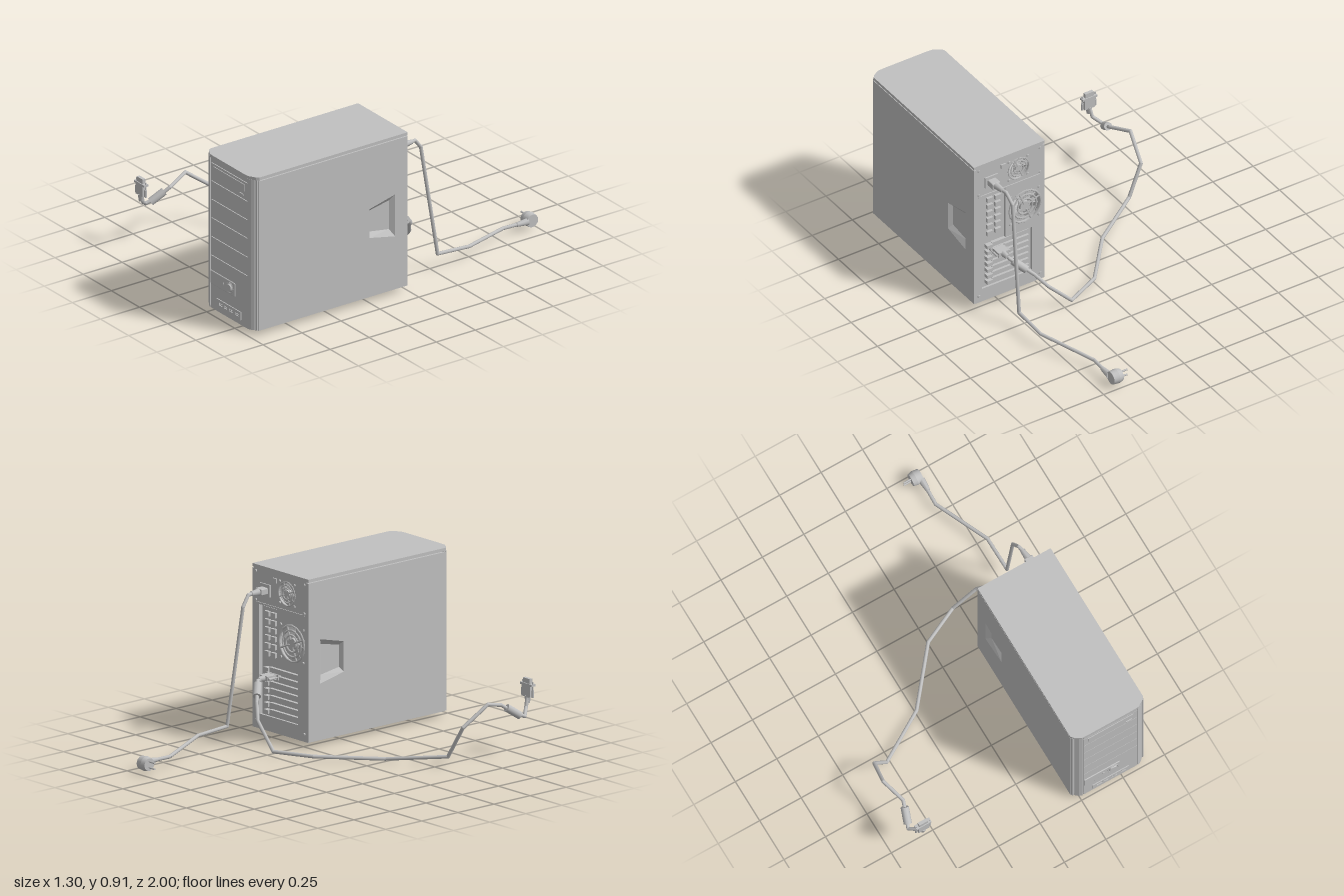
import * as THREE from 'three';
import { RoundedBoxGeometry } from 'three/addons/geometries/RoundedBoxGeometry.js';

const grey = new THREE.MeshStandardMaterial({ color: 0xc0c0c0, side: THREE.DoubleSide });
grey.name = 'case grey';
const V = (p) => new THREE.Vector3(...p);

function add(parent, name, geo, x = 0, y = 0, z = 0) {
  const m = new THREE.Mesh(geo, grey);
  m.name = name;
  m.position.set(x, y, z);
  parent.add(m);
  return m;
}

// Box given by its extents
function block(parent, name, x0, x1, y0, y1, z0, z1) {
  return add(parent, name, new THREE.BoxGeometry(x1 - x0, y1 - y0, z1 - z0),
    (x0 + x1) / 2, (y0 + y1) / 2, (z0 + z1) / 2);
}

// Tapered rod between two points
function rod(parent, name, a, b, r0, r1 = r0, sides = 8) {
  const p = V(a), q = V(b), d = q.clone().sub(p);
  const m = add(parent, name, new THREE.CylinderGeometry(r1, r0, d.length(), sides));
  m.position.copy(p).add(q).multiplyScalar(0.5);
  m.quaternion.setFromUnitVectors(new THREE.Vector3(0, 1, 0), d.normalize());
  return m;
}

function cable(parent, name, pts, r) {
  const g = new THREE.Group();
  g.name = name;
  pts.forEach((p, i) => {
    if (i) rod(g, 'cableSegment', pts[i - 1], p, r);
    add(g, 'cableBend', new THREE.SphereGeometry(r, 8, 6), ...p);
  });
  parent.add(g);
}

const shapeOf = (pts) => new THREE.Shape(pts.map((p) => new THREE.Vector2(...p)));
const extrude = (shape, depth) => new THREE.ExtrudeGeometry(shape, { depth, bevelEnabled: false, curveSegments: 16 });

// Extrude an x-z outline upward from y0 to y1
function slab(parent, name, pts, y0, y1) {
  return add(parent, name, extrude(shapeOf(pts), y1 - y0).rotateX(Math.PI / 2), 0, y1, 0);
}

// Side panel with a dished grip
function sidePanel(parent, s) {
  const face = 0.43 + s * 0.22;
  const outer = [[0.245, 0.37], [0.08, 0.335], [0.08, 0.575], [0.245, 0.535]];
  const inner = [[0.232, 0.395], [0.105, 0.375], [0.105, 0.54], [0.232, 0.515]];
  const panel = shapeOf([[0, 0.032], [-0.955, 0.032], [-0.955, 0.888], [0, 0.888]]);
  panel.holes.push(new THREE.Path(outer.map(([z, y]) => new THREE.Vector2(-z, y))));
  add(parent, 'sidePanel', extrude(panel, 0.015).rotateY(Math.PI / 2), s > 0 ? face - 0.015 : face);
  const pos = [...outer.map(([z, y]) => [face, y, z]), ...inner.map(([z, y]) => [face - s * 0.022, y, z])].flat();
  const idx = [4, 5, 6, 4, 6, 7];
  for (let i = 0; i < 4; i++) {
    const j = (i + 1) % 4;
    idx.push(i, j, 4 + j, i, 4 + j, 4 + i);
  }
  if (s < 0) idx.reverse();
  let geo = new THREE.BufferGeometry();
  geo.setAttribute('position', new THREE.Float32BufferAttribute(pos, 3));
  geo.setIndex(idx);
  geo = geo.toNonIndexed();
  geo.computeVertexNormals();
  add(parent, 'sideGrip', geo);
}

// Fan with guard rings, spokes, blades and corner screws
function fan(parent, name, x, y, r) {
  const g = new THREE.Group();
  g.name = name;
  g.position.set(x, y, 0);
  for (const k of [0.98, 0.72, 0.46]) {
    add(g, 'guardRing', new THREE.TorusGeometry(r * k, r * 0.06, 4, 16), 0, 0, -0.004);
  }
  add(g, 'fanHub', new THREE.CylinderGeometry(r * 0.3, r * 0.3, 0.03, 12).rotateX(Math.PI / 2), 0, 0, 0.01);
  for (let i = 0; i < 8; i++) {
    const a = (i * Math.PI) / 4 + Math.PI / 8, c = Math.cos(a), s = Math.sin(a);
    if (i % 2) rod(g, 'guardSpoke', [c * r * 0.2, s * r * 0.2, -0.004], [c * r, s * r, -0.004], r * 0.06, r * 0.06, 4);
    const blade = add(g, 'fanBlade', new THREE.BoxGeometry(r * 0.65, r * 0.35, 0.003), c * r * 0.6, s * r * 0.6, 0.022);
    blade.rotation.set(0, 0, a);
    blade.rotateX(0.5);
  }
  for (const sx of [-1, 1]) for (const sy of [-1, 1]) {
    add(g, 'fanScrew', new THREE.CylinderGeometry(0.008, 0.008, 0.01, 8).rotateX(Math.PI / 2), sx * r * 0.88, sy * r * 0.88, -0.003);
  }
  parent.add(g);
}

function buildCase(parent) {
  const g = new THREE.Group();
  g.name = 'computerCase';
  parent.add(g);
  const plan = [[0.21, 0], [0.65, 0], [0.65, 0.95], [0.638, 0.965], [0.6, 0.988], [0.56, 0.99],
    [0.30, 0.99], [0.26, 0.988], [0.222, 0.965], [0.21, 0.95]];
  slab(g, 'topCover', plan, 0.893, 0.91);
  slab(g, 'bottomCover', plan.map(([x, z]) => [0.43 + (x - 0.43) * 0.99, z * 0.995]), 0.03, 0.045);
  block(g, 'innerChassis', 0.24, 0.62, 0.04, 0.895, 0.045, 0.95);
  sidePanel(g, 1);
  sidePanel(g, -1);

  // Front bezel, with a groove beside each curved column
  block(g, 'bezelFrame', 0.215, 0.645, 0.032, 0.893, 0.94, 0.962);
  block(g, 'bezelCore', 0.255, 0.605, 0.032, 0.893, 0.955, 0.981);
  for (const s of [-1, 1]) {
    const col = [[0.168, 0.955], [0.203, 0.955], [0.200, 0.968], [0.185, 0.981], [0.168, 0.988]];
    slab(g, 'bezelColumn', col.map(([x, z]) => [0.43 + s * x, z]), 0.032, 0.893);
    slab(g, 'bezelEdge', [[0.209, 0.95], [0.219, 0.95], [0.211, 0.963]].map(([x, z]) => [0.43 + s * x, z]), 0.032, 0.893);
  }
  const rows = [0.032, 0.335, 0.442, 0.55, 0.656, 0.762, 0.866, 0.893];
  for (let i = 0; i < 7; i++) block(g, 'bayCover', 0.272, 0.594, rows[i] + 0.002, rows[i + 1] - 0.002, 0.97, 0.987);

  // Optical drive and front controls
  block(g, 'driveTray', 0.296, 0.57, 0.812, 0.85, 0.98, 0.991);
  block(g, 'ejectButton', 0.525, 0.56, 0.781, 0.791, 0.98, 0.992);
  add(g, 'powerPanel', new RoundedBoxGeometry(0.215, 0.078, 0.012, 2, 0.005), 0.379, 0.211, 0.986);
  add(g, 'powerRing', new THREE.TorusGeometry(0.029, 0.003, 6, 20), 0.443, 0.211, 0.992);
  add(g, 'powerButton', new THREE.CylinderGeometry(0.021, 0.026, 0.012, 12).rotateX(Math.PI / 2), 0.443, 0.211, 0.994);
  add(g, 'indicatorLight', new THREE.CylinderGeometry(0.009, 0.009, 0.006, 12).rotateX(Math.PI / 2), 0.386, 0.211, 0.992);
  const plate = shapeOf([[0.322, 0.06], [0.54, 0.06], [0.54, 0.106], [0.322, 0.106]]);
  for (const [x, w] of [[0.365, 0.032], [0.406, 0.028], [0.443, 0.014], [0.462, 0.014], [0.507, 0.026]]) {
    plate.holes.push(new THREE.Path([[-1, -1], [1, -1], [1, 1], [-1, 1]].map(([a, b]) => new THREE.Vector2(x + a * w / 2, 0.083 + b * 0.008))));
    block(g, 'portTongue', x - w * 0.35, x + w * 0.35, 0.081, 0.085, 0.985, 0.991);
  }
  add(g, 'portPanel', extrude(plate, 0.006), 0, 0, 0.986);

  // Feet
  for (const x of [0.305, 0.56]) for (const z of [0.13, 0.87]) {
    const foot = add(g, 'foot', new THREE.CylinderGeometry(0.05, 0.04, 0.018, 4, 1).rotateY(Math.PI / 4).toNonIndexed(), x, 0.022, z);
    foot.geometry.computeVertexNormals();
  }
  buildBack(g);
}

function buildBack(g) {
  // Rear wall with openings for the fans and connectors
  const wall = shapeOf([[0.224, 0.045], [0.636, 0.045], [0.636, 0.893], [0.224, 0.893]]);
  for (const [x, y, r] of [[0.375, 0.8, 0.066], [0.335, 0.54, 0.1]]) {
    wall.holes.push(new THREE.Path().absarc(x, y, r, 0, Math.PI * 2, true));
    fan(g, r > 0.08 ? 'caseFan' : 'powerSupplyFan', x, y, r);
  }
  wall.holes.push(new THREE.Path([[0.29, 0.11], [0.6, 0.11], [0.6, 0.7], [0.455, 0.7], [0.455, 0.385], [0.29, 0.385]].map((p) => new THREE.Vector2(...p))));
  add(g, 'rearWall', extrude(wall, 0.012));
  block(g, 'powerSupplyEdge', 0.235, 0.625, 0.705, 0.712, -0.005, 0.002);
  block(g, 'powerInlet', 0.505, 0.585, 0.755, 0.82, -0.008, 0.002);
  block(g, 'powerSwitch', 0.455, 0.485, 0.84, 0.865, -0.008, 0.002);
  for (const x of [0.24, 0.62]) for (const y of [0.07, 0.72, 0.875]) {
    add(g, 'caseScrew', new THREE.CylinderGeometry(0.008, 0.008, 0.008, 8).rotateX(Math.PI / 2), x, y, -0.003);
  }
  // Connector plate and its sockets
  block(g, 'connectorPlate', 0.462, 0.59, 0.4, 0.69, 0.02, 0.045);
  for (let i = 0; i < 6; i++) {
    for (const x of [0.495, 0.545]) block(g, 'socket', x - 0.018, x + 0.018, 0.43 + i * 0.043, 0.456 + i * 0.043, 0.004, 0.025);
  }
  // Expansion slot covers
  for (let i = 0; i < 7; i++) {
    const y = 0.13 + i * 0.038;
    block(g, 'slotCover', 0.3, 0.53, y - 0.013, y + 0.013, 0.012, 0.03);
    block(g, 'slotTab', 0.53, 0.565, y - 0.01, y + 0.01, 0.002, 0.03);
  }
}

function buildPowerLead(parent) {
  const g = new THREE.Group();
  g.name = 'powerLead';
  parent.add(g);
  cable(g, 'powerCable', [[0.545, 0.785, -0.08], [0.535, 0.785, -0.13], [0.525, 0.73, -0.175], [0.545, 0.1, -0.268],
    [0.545, 0.087, -0.47], [0.415, 0.056, -0.78], [0.42, 0.055, -0.9]], 0.01);
  add(g, 'inletPlug', new RoundedBoxGeometry(0.05, 0.036, 0.05, 2, 0.006), 0.545, 0.785, -0.028);
  rod(g, 'inletStrainRelief', [0.545, 0.785, -0.045], [0.54, 0.785, -0.105], 0.02, 0.013);
  rod(g, 'plugStrainRelief', [0.42, 0.055, -0.865], [0.42, 0.055, -0.935], 0.012, 0.02);
  rod(g, 'plugBody', [0.43, 0.055, -0.96], [0.395, 0.055, -0.96], 0.036, 0.04, 16);
  rod(g, 'plugFace', [0.395, 0.055, -0.96], [0.37, 0.055, -0.96], 0.04, 0.034, 16);
  for (const s of [-1, 1]) rod(g, 'plugPin', [0.375, 0.055 + s * 0.016, -0.96], [0.328, 0.055 + s * 0.016, -0.96], 0.005);
}

function buildVideoLead(parent) {
  const g = new THREE.Group();
  g.name = 'videoLead';
  parent.add(g);
  cable(g, 'videoCable', [[0.5, 0.33, -0.05], [0.495, 0.325, -0.1], [0.455, 0.29, -0.14], [0.4, 0.24, -0.19],
    [0.34, 0.165, -0.235], [0.205, 0.03, -0.247], [0, 0.028, -0.15], [-0.24, 0.012, 0.14], [-0.525, 0.05, 0.32],
    [-0.615, 0.22, 0.345], [-0.645, 0.325, 0.49], [-0.602, 0.29, 0.62], [-0.625, 0.24, 0.69],
    [-0.645, 0.215, 0.745], [-0.605, 0.25, 0.79], [-0.597, 0.31, 0.808]], 0.01);
  // Filter beads
  rod(g, 'filterBead', [0.482, 0.313, -0.112], [0.43, 0.266, -0.163], 0.022, 0.022, 10);
  rod(g, 'filterBead', [-0.611, 0.272, 0.65], [-0.634, 0.222, 0.722], 0.022, 0.022, 10);

  // Plug at each end: shell, tip, screws and strain relief
  const plug = (x, y, z, rx) => {
    const p = new THREE.Group();
    p.name = 'videoPlug';
    p.position.set(x, y, z);
    p.rotation.x = rx;
    g.add(p);
    rod(p, 'plugNeck', [0, -0.045, 0], [0, -0.005, 0], 0.012, 0.018);
    block(p, 'plugShell', -0.032, 0.032, -0.01, 0.05, -0.013, 0.013);
    block(p, 'plugFlange', -0.045, 0.045, 0.05, 0.062, -0.014, 0.014);
    block(p, 'plugTip', -0.026, 0.026, 0.062, 0.088, -0.009, 0.009);
    for (const s of [-1, 1]) {
      rod(p, 'thumbScrew', [s * 0.04, -0.01, 0], [s * 0.04, 0.03, 0], 0.007);
      rod(p, 'screwShaft', [s * 0.04, 0.03, 0], [s * 0.04, 0.074, 0], 0.004);
    }
  };
  plug(-0.595, 0.312, 0.81, 0);
  plug(0.5, 0.33, -0.045, Math.PI / 2);
}

export function createModel() {
  const model = new THREE.Group();
  model.name = 'desktopComputer';
  buildCase(model);
  buildPowerLead(model);
  buildVideoLead(model);
  return model;
}
